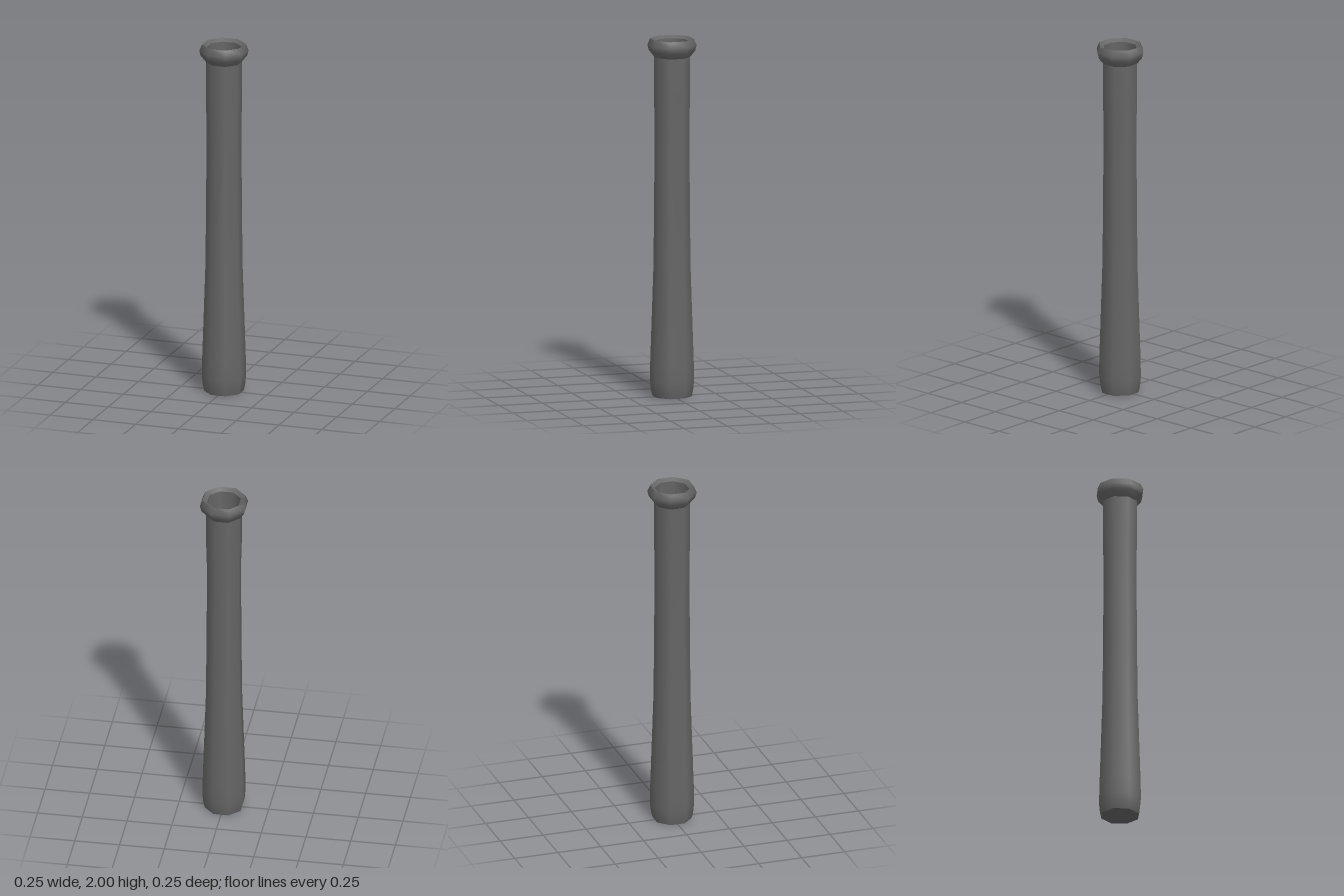
import * as THREE from 'three';

const SIDES = 8;
const TO_CORNER = 1 / Math.cos(Math.PI / SIDES);

export function createModel() {
  const group = new THREE.Group();
  group.name = 'flaredTube';
  const material = new THREE.MeshStandardMaterial({ color: 0x666666 });

  // Eight-sided revolved part; profile is [distance to flat side, height]
  const addPart = (name, profile) => {
    const points = profile.map(([r, y]) => new THREE.Vector2(r * TO_CORNER, y));
    const geometry = new THREE.LatheGeometry(points, SIDES, Math.PI / SIDES);
    const mesh = new THREE.Mesh(geometry, material);
    mesh.name = name;
    group.add(mesh);
  };

  // Flat underside
  addPart('base', [[0, 0], [0.1, 0]]);

  // Long shaft, swelling towards the rounded foot
  addPart('shaft', [
    [0.1, 0], [0.108, 0.035], [0.113, 0.09], [0.111, 0.2], [0.095, 0.72],
    [0.092, 1], [0.09, 1.3], [0.089, 1.55], [0.093, 1.7], [0.093, 1.9],
  ]);

  // Bulging collar around the mouth
  addPart('collar', [[0.093, 1.9], [0.119, 1.935], [0.126, 1.965], [0.112, 2]]);

  // Bevelled lip sloping into the opening
  addPart('lip', [[0.112, 2], [0.088, 1.985]]);

  // Inner wall and floor of the hollow
  addPart('bore', [[0.088, 1.985], [0.087, 0.05]]);
  addPart('boreFloor', [[0.087, 0.05], [0, 0.05]]);

  return group;
}
